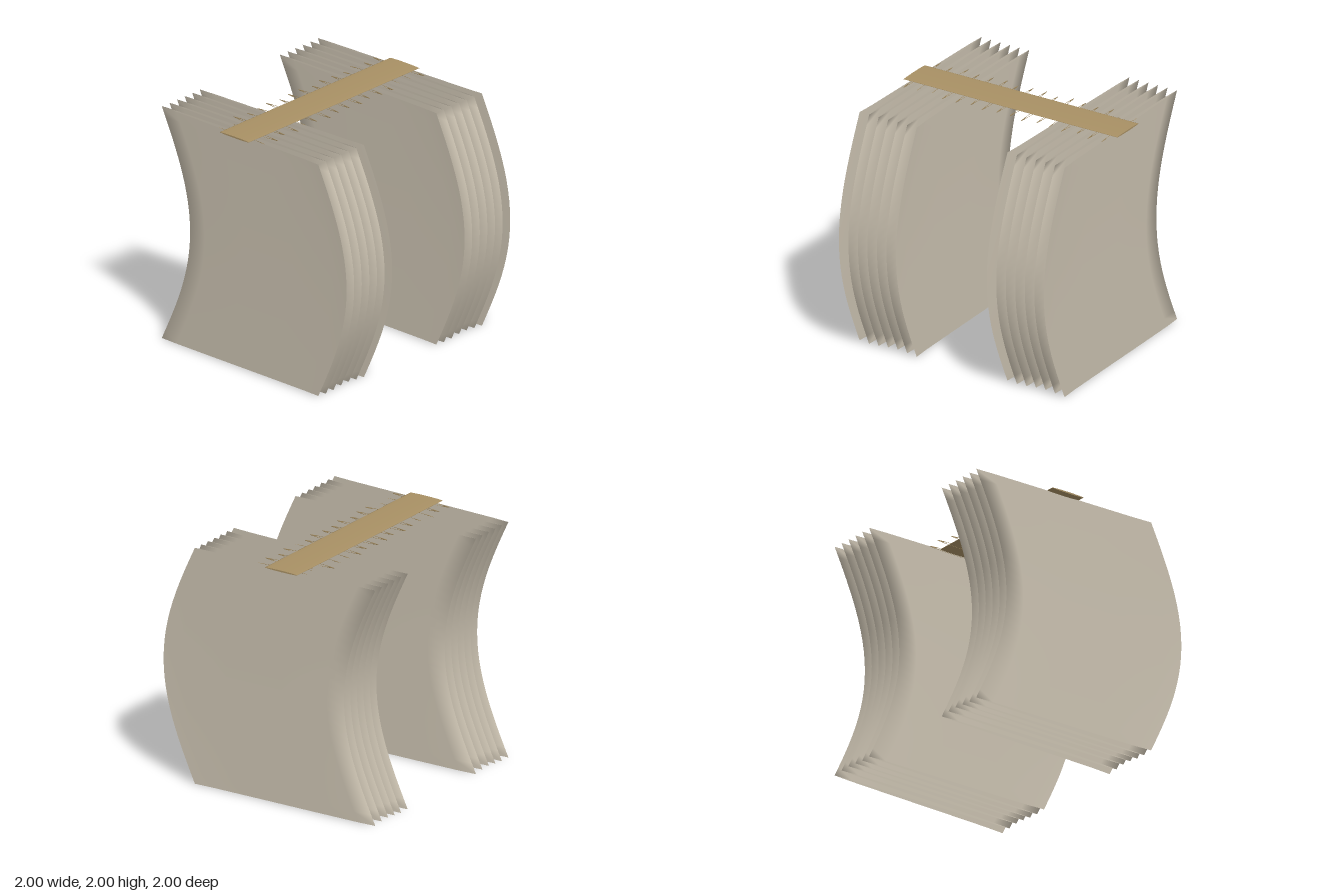
import * as THREE from 'three';

const cloth = new THREE.MeshStandardMaterial({ color: 0xc9c0af, side: THREE.DoubleSide });
const wood = new THREE.MeshStandardMaterial({ color: 0xa89064 });

// Pleated cloth: a deep cosine fold across x that billows forward at mid height
function makeCurtain(name, x0) {
  const width = 0.535, folds = 6, top = 1.992;
  const geo = new THREE.PlaneGeometry(1, 1, folds * 10, 24);
  const pos = geo.attributes.position;
  for (let i = 0; i < pos.count; i++) {
    const u = pos.getX(i) + 0.5, v = pos.getY(i) + 0.5;
    const hem = 0.012 - 0.009 * Math.sin(u * 2.4 * Math.PI);
    const billow = 0.3 * Math.sin(Math.PI * v);
    const fold = 0.85 * Math.cos(u * folds * 2 * Math.PI);
    pos.setXYZ(i, x0 + u * width, hem + v * (top - hem), -0.15 + billow + fold);
  }
  geo.computeVertexNormals();
  const mesh = new THREE.Mesh(geo, cloth);
  mesh.name = name;
  return mesh;
}

export function createModel() {
  const group = new THREE.Group();
  group.add(makeCurtain('rightCurtain', -0.96), makeCurtain('leftCurtain', 0.425));

  // Flattened rod across the top
  const rod = new THREE.Mesh(new THREE.CylinderGeometry(1, 1, 2, 24).rotateZ(Math.PI / 2), wood);
  rod.name = 'rod';
  rod.scale.set(1, 0.0065, 0.155);
  rod.position.set(0, 1.9935, -0.155);
  group.add(rod);

  // Thin flattened rings hanging on the rod
  const rings = new THREE.Group();
  rings.name = 'rings';
  const ringGeo = new THREE.TorusGeometry(0.245, 0.03, 6, 20).rotateY(Math.PI / 2);
  ringGeo.scale(0.042, 0.042, 1);
  for (let i = 0; i < 16; i++) {
    const ring = new THREE.Mesh(ringGeo, wood);
    ring.name = 'ring';
    ring.position.set(-0.93 + i * 0.124, 1.984, -0.155 + 0.02 * Math.sin(i * 2.3));
    rings.add(ring);
  }
  group.add(rings);
  return group;
}
